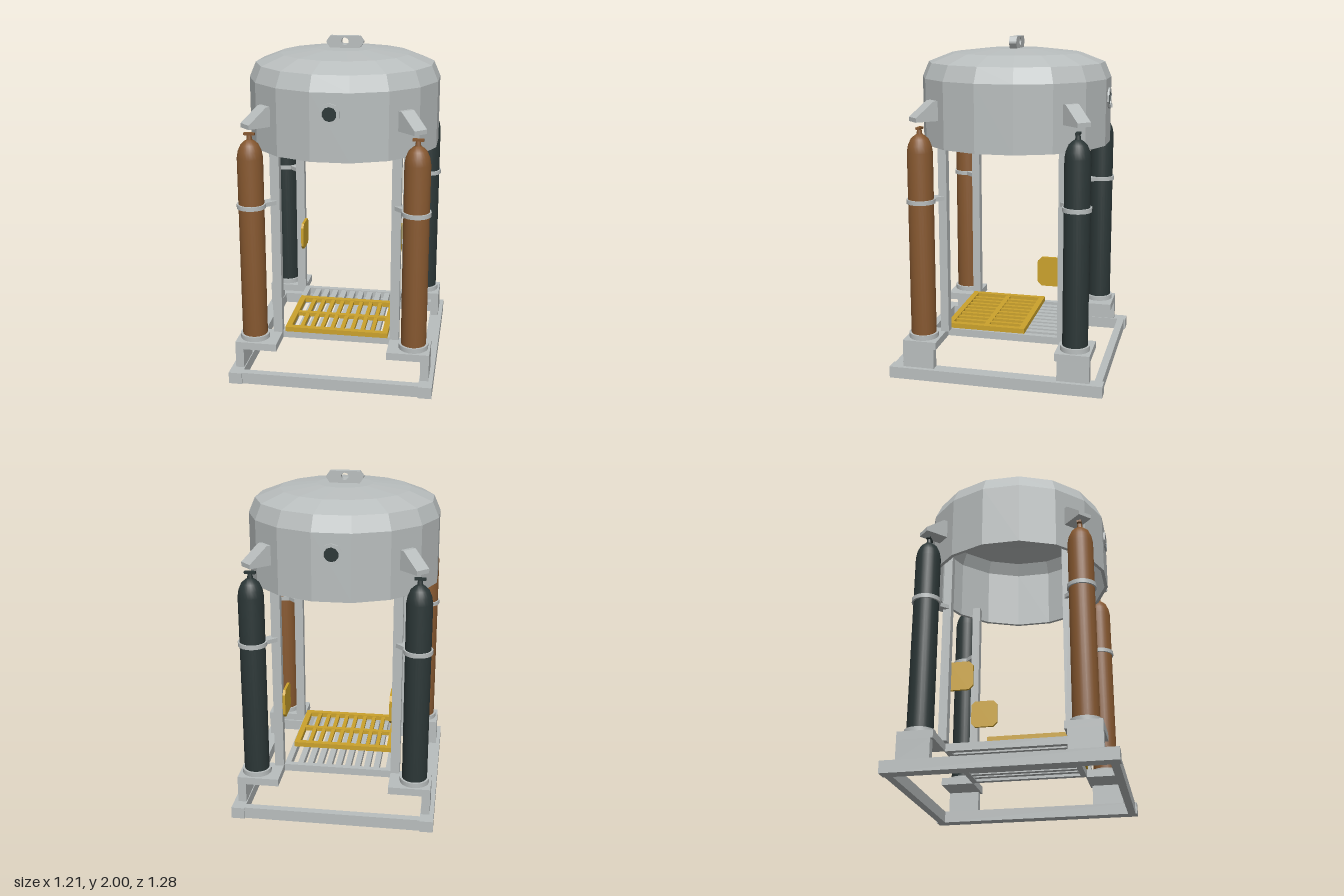
import * as THREE from 'three';
import { toCreasedNormals } from 'three/addons/utils/BufferGeometryUtils.js';

const mat = (name, color) => {
  const m = new THREE.MeshStandardMaterial({ color });
  m.name = name;
  return m;
};

export function createModel() {
  const root = new THREE.Group();
  root.name = 'divingBell';
  const grey = mat('steel grey', 0xb9bebe);
  const yellow = mat('yellow', 0xcba22c);
  const brown = mat('brown', 0x85572f);
  const dark = mat('dark slate', 0x2b3636);

  const add = (name, geo, material, parent = root) => {
    const mesh = new THREE.Mesh(geo, material);
    mesh.name = name;
    parent.add(mesh);
    return mesh;
  };
  // Box given by its limits on each axis
  const box = (name, x0, x1, y0, y1, z0, z1, material, parent) => {
    const g = new THREE.BoxGeometry(Math.abs(x1 - x0), Math.abs(y1 - y0), Math.abs(z1 - z0));
    g.translate((x0 + x1) / 2, (y0 + y1) / 2, (z0 + z1) / 2);
    return add(name, g, material, parent);
  };
  const lathe = (pts, sides, start = 0) =>
    new THREE.LatheGeometry(pts.map(p => new THREE.Vector2(...p)), sides, start);
  const flat = g => {
    const f = g.toNonIndexed();
    f.computeVertexNormals();
    return f;
  };
  // Flat plate from an outline, centred on z = 0
  const plate = (pts, depth, hole) => {
    const s = new THREE.Shape(pts.map(p => new THREE.Vector2(...p)));
    if (hole) s.holes.push(hole);
    return new THREE.ExtrudeGeometry(s, { depth, bevelEnabled: false, curveSegments: 8 })
      .translate(0, 0, -depth / 2);
  };

  // Bell: faceted hollow shell, open below
  add('bellShell', flat(lathe([
    [0.55, 1.37], [0.571, 1.37], [0.571, 1.76], [0.532, 1.85], [0.39, 1.905], [0.166, 1.93], [0, 1.93],
    [0, 1.91], [0.16, 1.91], [0.38, 1.885], [0.515, 1.835], [0.55, 1.755], [0.55, 1.37],
  ], 16, Math.PI / 16)), grey);

  // Lifting lug with an eye
  const eye = new THREE.Path();
  eye.absarc(0, 1.968, 0.022, 0, Math.PI * 2, true);
  add('liftingLug', plate([
    [-0.085, 1.925], [0.085, 1.925], [0.11, 1.96], [0.11, 1.97], [0.088, 2],
    [-0.088, 2], [-0.11, 1.97], [-0.11, 1.96],
  ], 0.044, eye), grey);

  // Portholes through the front and back walls
  for (const s of [1, -1]) {
    const port = new THREE.Group();
    port.name = s > 0 ? 'frontPorthole' : 'backPorthole';
    port.position.y = 1.642;
    port.rotation.y = s > 0 ? 0 : Math.PI;
    const ring = flat(lathe([[0.042, 0.55], [0.062, 0.55], [0.062, 0.571], [0.042, 0.571], [0.042, 0.55]], 10));
    add('portholeRing', ring.rotateX(Math.PI / 2), grey, port);
    const glass = new THREE.CylinderGeometry(0.044, 0.044, 0.03, 10);
    add('portholeGlass', glass.rotateX(Math.PI / 2).translate(0, 0, 0.551), dark, port);
    root.add(port);
  }

  // Base frame
  for (const s of [1, -1]) {
    box('baseSideRail', s * 0.525, s * 0.605, 0, 0.07, -0.64, 0.64, grey);
    box('baseCrossRail', -0.525, 0.525, 0, 0.07, s * 0.585, s * 0.63, grey);
  }

  // Framed grating with bars running front to back
  const grating = (name, w, z0, z1, y0, y1, rim, bars, barWidth, material) => {
    const g = new THREE.Group();
    g.name = name;
    for (const s of [1, -1]) box('gratingSide', s * (w - rim), s * w, y0, y1, z0, z1, material, g);
    box('gratingBack', rim - w, w - rim, y0, y1, z0, z0 + rim, material, g);
    box('gratingFront', rim - w, w - rim, y0, y1, z1 - rim, z1, material, g);
    for (let i = 1; i <= bars; i++) {
      const x = (w - rim) * (2 * i / (bars + 1) - 1);
      box('gratingBar', x - barWidth / 2, x + barWidth / 2, y0 + 0.004, y1 - 0.004, z0 + rim, z1 - rim, material, g);
    }
    root.add(g);
    return g;
  };
  grating('floorGrating', 0.33, -0.36, 0.36, 0.19, 0.235, 0.035, 9, 0.035, grey);
  const hatch = grating('yellowHatch', 0.315, -0.12, 0.37, 0.235, 0.265, 0.035, 8, 0.024, yellow);
  box('hatchMiddleBar', -0.28, 0.28, 0.238, 0.262, 0.11, 0.14, yellow, hatch);

  // Gas bottle profile, reused at each corner
  const bottle = toCreasedNormals(lathe([
    [0, 0.236], [0.075, 0.236], [0.075, 1.355], [0.068, 1.395], [0.052, 1.432], [0.03, 1.452],
    [0.017, 1.46], [0.013, 1.488], [0, 1.488],
  ], 24), 0.6);
  const collar = toCreasedNormals(lathe([[0.075, 0.235], [0.088, 0.235], [0.088, 0.264], [0.075, 0.264]], 24), 0.6);
  const clamp = toCreasedNormals(lathe(
    [[0.074, 1.055], [0.085, 1.055], [0.085, 1.08], [0.074, 1.08], [0.074, 1.055]], 24), 0.6);
  const bracket = plate([[0.54, 1.53], [0.70, 1.53], [0.70, 1.555], [0.585, 1.645], [0.54, 1.645]], 0.09);

  for (const sx of [1, -1]) for (const sz of [1, -1]) {
    const corner = new THREE.Group();
    corner.name = (sz > 0 ? 'front' : 'back') + (sx > 0 ? 'Left' : 'Right') + 'Corner';
    root.add(corner);

    // Foot, pad and upright post
    box('foot', sx * 0.53, sx * 0.58, 0.07, 0.19, sz * 0.37, sz * 0.56, grey, corner);
    box('bottlePad', sx * 0.33, sx * 0.58, 0.19, 0.235, sz * 0.355, sz * 0.56, grey, corner);
    box('post', sx * 0.33, sx * 0.385, 0.235, 1.42, sz * 0.335, sz * 0.385, grey, corner);

    // Bottle with collar, clamp and valve handle
    const unit = new THREE.Group();
    unit.name = 'gasBottle';
    unit.position.set(sx * 0.48, 0, sz * 0.46);
    corner.add(unit);
    const colour = sz > 0 ? brown : dark;
    add('bottleBody', bottle, colour, unit);
    box('valveHandle', -0.032, 0.032, 1.487, 1.5, -0.013, 0.013, colour, unit);
    add('bottleCollar', collar, grey, unit);
    add('bottleClamp', clamp, grey, unit);

    // Parts that point out along the diagonal
    const spoke = new THREE.Group();
    spoke.name = 'diagonalParts';
    spoke.rotation.y = Math.atan2(-sz, sx);
    corner.add(spoke);
    add('bellBracket', bracket, grey, spoke);
    box('clampStrap', 0.52, 0.592, 1.055, 1.08, -0.03, 0.03, grey, spoke);
  }

  // Yellow panels on the inside of the rear posts
  const panel = plate([
    [-0.375, 0.58], [-0.35, 0.555], [-0.23, 0.555], [-0.205, 0.58],
    [-0.205, 0.705], [-0.23, 0.73], [-0.35, 0.73], [-0.375, 0.705],
  ], 0.016).rotateY(-Math.PI / 2);
  for (const s of [1, -1]) add('yellowPanel', panel, yellow).position.x = s * 0.322;

  return root;
}
